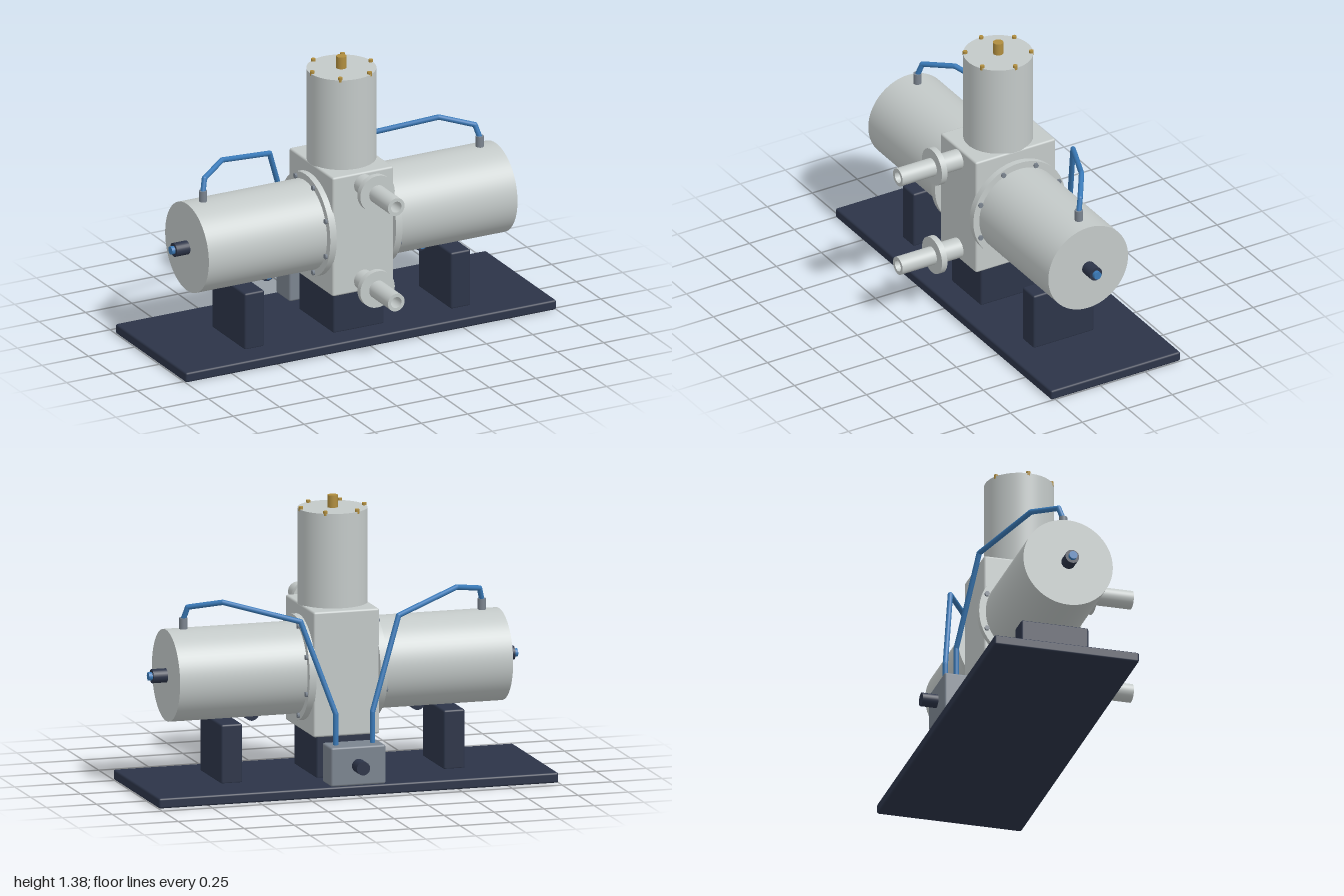
import * as THREE from 'three';
import { RoundedBoxGeometry } from 'three/addons/geometries/RoundedBoxGeometry.js';

const AXIS_Z = -0.033; // shared axis of the three cylinders
const AXIS_Y = 0.558;

export function createModel() {
  const model = new THREE.Group();
  model.name = 'pump';

  const material = (name, color) => {
    const m = new THREE.MeshStandardMaterial({ color });
    m.name = name;
    return m;
  };
  const steel = material('light steel', 0xc3c9c8);
  const navy = material('navy paint', 0x2c3448);
  const blue = material('blue tubing', 0x3a7ab8);
  const brass = material('brass', 0xb08d3e);
  const grey = material('grey metal', 0x7b848f);

  const add = (name, geometry, mat) => {
    const mesh = new THREE.Mesh(geometry, mat);
    mesh.name = name;
    model.add(mesh);
    return mesh;
  };
  // Box given by its low and high corners
  const box = (name, lo, hi, mat, bevel = 0.01) => {
    const size = hi.map((v, i) => v - lo[i]);
    const mesh = add(name, new RoundedBoxGeometry(...size, 2, bevel), mat);
    mesh.position.set(...hi.map((v, i) => (v + lo[i]) / 2));
    return mesh;
  };
  // Cylinder between two points
  const rod = (name, from, to, radius, mat, sides = 24) => {
    const a = new THREE.Vector3(...from);
    const b = new THREE.Vector3(...to);
    const dir = b.clone().sub(a);
    const mesh = add(name, new THREE.CylinderGeometry(radius, radius, dir.length(), sides), mat);
    mesh.position.copy(a).add(b).multiplyScalar(0.5);
    mesh.quaternion.setFromUnitVectors(new THREE.Vector3(0, 1, 0), dir.normalize());
    return mesh;
  };

  // Base plate and pedestals
  box('basePlate', [-1, 0, -0.447], [1, 0.05, 0.272], navy);
  box('centrePedestal', [-0.137, 0.045, -0.21], [0.137, 0.256, 0.145], navy);

  // Central block and upright cylinder
  box('centreBlock', [-0.165, 0.255, -0.255], [0.165, 0.865, 0.19], steel);
  rod('uprightCylinder', [0, 0.86, AXIS_Z], [0, 1.325, AXIS_Z], 0.167, steel, 64);
  rod('topStem', [0, 1.32, AXIS_Z], [0, 1.385, AXIS_Z], 0.025, brass);
  for (let i = 0; i < 6; i++) {
    const a = (i * Math.PI) / 3;
    const x = 0.158 * Math.cos(a);
    const z = AXIS_Z + 0.158 * Math.sin(a);
    rod('topBolt', [x, 1.315, z], [x, 1.337, z], 0.011, brass, 12);
  }

  // Front nozzles with open ends
  const nozzleProfile = [
    [0, 0.25], [0.028, 0.25], [0.028, 0.525], [0.045, 0.525], [0.045, 0.335], [0.093, 0.335],
    [0.093, 0.305], [0.05, 0.305], [0.05, 0.18],
  ];
  for (const y of [0.805, 0.315]) {
    // Each wall is lathed on its own so the edges stay sharp
    const nozzle = new THREE.Group();
    nozzle.name = 'nozzle';
    for (let i = 0; i < nozzleProfile.length - 1; i++) {
      const pts = [nozzleProfile[i + 1], nozzleProfile[i]].map((p) => new THREE.Vector2(...p));
      const wall = new THREE.Mesh(new THREE.LatheGeometry(pts, 40), steel);
      wall.name = 'nozzleWall';
      nozzle.add(wall);
    }
    nozzle.rotation.x = Math.PI / 2;
    nozzle.position.y = y;
    model.add(nozzle);
  }

  // Control box behind the block
  box('controlBox', [-0.137, 0.05, -0.442], [0.137, 0.24, -0.301], grey);
  rod('controlKnob', [0, 0.147, -0.43], [0, 0.147, -0.52], 0.033, navy);
  rod('controlPort', [0, 0.086, -0.31], [0, 0.086, -0.232], 0.016, brass);

  // Everything that repeats on both sides
  for (const s of [-1, 1]) {
    const along = (x0, x1) => [[s * x0, AXIS_Y, AXIS_Z], [s * x1, AXIS_Y, AXIS_Z]];
    rod('sideCylinder', ...along(0.15, 0.833), 0.222, steel, 64);
    rod('sideFlange', ...along(0.16, 0.195), 0.255, steel, 64);
    rod('endPlug', ...along(0.83, 0.905), 0.034, navy);
    rod('endPlugCore', ...along(0.9, 0.923), 0.02, blue);

    // Flange bolts
    for (let i = 0; i < 8; i++) {
      const a = ((i + 0.5) * Math.PI) / 4;
      const y = AXIS_Y + 0.235 * Math.sin(a);
      const z = AXIS_Z + 0.235 * Math.cos(a);
      rod('flangeBolt', [s * 0.19, y, z], [s * 0.206, y, z], 0.013, grey, 6);
    }

    // Pedestal and drain plug under the cylinder
    const x0 = s > 0 ? 0.503 : -0.61;
    box('sidePedestal', [x0, 0.045, -0.2], [x0 + 0.107, 0.335, 0.135], navy);
    rod('drainPlug', [s * 0.415, 0.353, -0.07], [s * 0.415, 0.353, 0.0], 0.036, navy);
    rod('drainPlugCore', [s * 0.415, 0.353, -0.06], [s * 0.415, 0.353, 0.015], 0.022, blue);

    // Fitting and bent tube down to the control box
    rod('tubeFitting', [s * 0.747, 0.77, AXIS_Z], [s * 0.747, 0.833, AXIS_Z], 0.02, grey);
    const path = [
      [0.747, 0.825, AXIS_Z], [0.73, 0.887, -0.05], [0.585, 0.92, -0.145],
      [0.245, 0.835, -0.302], [0.092, 0.39, -0.372], [0.092, 0.23, -0.372],
    ].map(([x, y, z]) => [s * x, y, z]);
    for (let i = 0; i < path.length - 1; i++) {
      rod('tubeRun', path[i], path[i + 1], 0.013, blue, 16);
      if (i > 0) add('tubeBend', new THREE.SphereGeometry(0.013, 16, 10), blue).position.set(...path[i]);
    }
  }
  return model;
}
